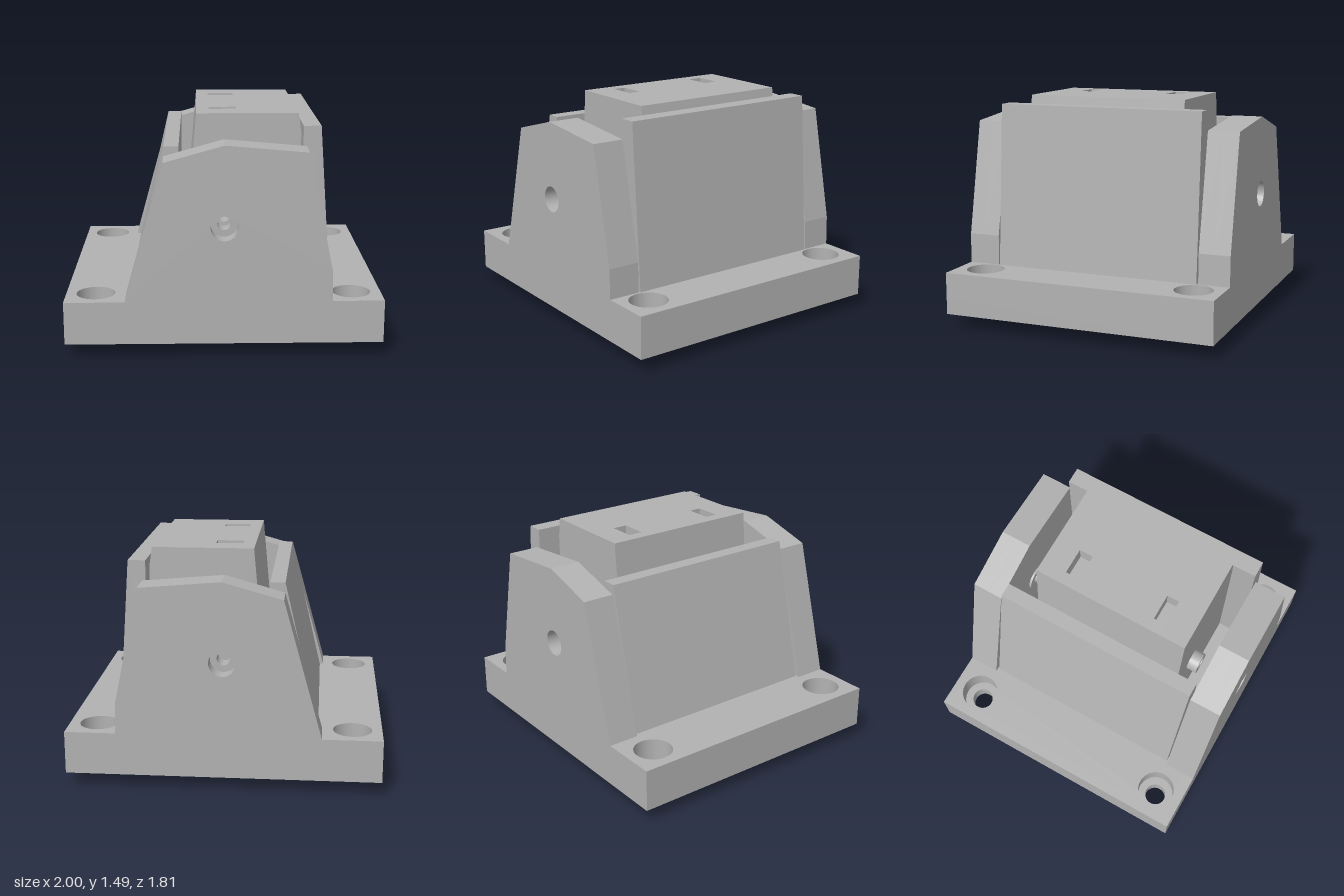
import * as THREE from 'three';

export function createModel() {
  const model = new THREE.Group();
  const grey = new THREE.MeshStandardMaterial({ color: 0xb2b2b2 });
  grey.name = 'plain grey';

  const add = (name, geometry) => {
    const mesh = new THREE.Mesh(geometry, grey);
    mesh.name = name;
    model.add(mesh);
    return mesh;
  };
  // Outline with round holes given as [x, y, radius]
  const outline = (points, holes = []) => {
    const shape = new THREE.Shape(points.map(([x, y]) => new THREE.Vector2(x, y)));
    for (const [x, y, r] of holes) {
      shape.holes.push(new THREE.Path().absarc(x, y, r, 0, Math.PI * 2, true));
    }
    return shape;
  };
  const extrude = (shape, depth) =>
    new THREE.ExtrudeGeometry(shape, { depth, bevelEnabled: false, curveSegments: 32 });
  // Extrusion along z between two positions
  const slab = (name, points, holes, z0, z1) =>
    add(name, extrude(outline(points, holes), z1 - z0).translate(0, 0, z0));

  // Base plate: narrow bolt holes below, wide counterbores above
  const basePoints = [[-1, -0.905], [1, -0.905], [1, 0.905], [-1, 0.905]];
  const bolts = (r) => [-0.812, 0.812].flatMap((x) => [-0.717, 0.717].map((z) => [x, z, r]));
  const baseLayer = (name, r, y0, y1) =>
    add(name, extrude(outline(basePoints, bolts(r)), y1 - y0).rotateX(-Math.PI / 2).translate(0, y0, 0));
  baseLayer('baseLower', 0.07, 0.09, 0.2);
  baseLayer('baseUpper', 0.123, 0.2, 0.365);

  // Raised pad under the base
  add('bottomPad', new THREE.BoxGeometry(1.3, 0.09, 0.98).translate(0, 0.045, 0));

  // End walls, counterbored from the outside
  const wall = [[-0.62, 0.365], [0.675, 0.365], [0.67, 0.56], [0.515, 1.305], [0, 1.35], [-0.375, 1.245]];
  const boreY = 0.84;
  const bore = [[0, boreY, 0.043]];
  const counterbore = [[0, boreY, 0.085]];
  slab('frontWallInner', wall, bore, 0.695, 0.8);
  slab('frontWallOuter', wall, counterbore, 0.8, 0.905);
  slab('backWallInner', wall, bore, -0.8, -0.7);
  slab('backWallOuter', wall, counterbore, -0.905, -0.8);

  // Sloping side plates
  slab('rightPlate', [[-0.595, 0.365], [-0.28, 0.365], [-0.28, 1.305], [-0.375, 1.305]], [], -0.69, 0.685);
  slab('leftPlate', [[0.495, 0.365], [0.68, 0.365], [0.605, 1.43], [0.495, 1.43]], [], -0.69, 0.685);

  // Centre block in slices; two of them are notched to form the slots in its top
  const low = [[-0.17, 1.485], [-0.27, 0.365], [0.495, 0.365], [0.495, 1.36], [0.477, 1.485]];
  const notch = [[0.085, 1.485], [0.085, 1.38], [-0.09, 1.38], [-0.09, 1.485]];
  const cuts = [-0.535, -0.365, -0.27, 0.27, 0.352, 0.53];
  for (let i = 0; i < cuts.length - 1; i++) {
    const points = i % 2 ? [...low, ...notch] : low;
    slab('centreBlock' + (i + 1), points, bore, cuts[i], cuts[i + 1]);
  }

  // Hollow pin on the block and spacer ring on the back wall
  const ring = (name, r, z0, z1) => {
    const shape = new THREE.Shape().absarc(0, boreY, r, 0, Math.PI * 2, false);
    shape.holes.push(new THREE.Path().absarc(0, boreY, 0.043, 0, Math.PI * 2, true));
    add(name, extrude(shape, z1 - z0).translate(0, 0, z0));
  };
  ring('frontPin', 0.072, 0.53, 0.6);
  ring('backSpacer', 0.085, -0.7, -0.685);

  return model;
}
